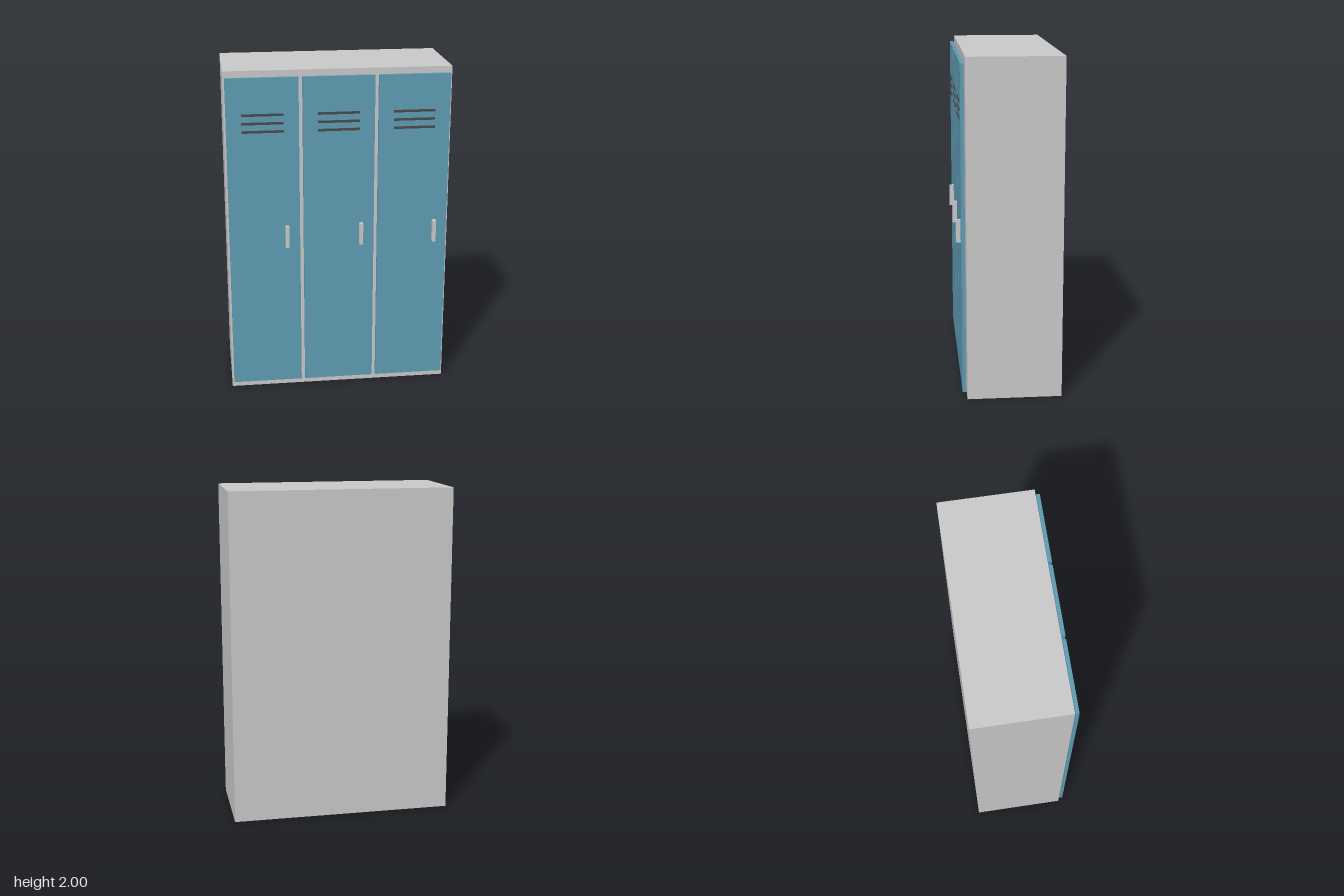
import * as THREE from 'three';

const grey = new THREE.MeshStandardMaterial({ color: 0xcccccc });
const blue = new THREE.MeshStandardMaterial({ color: 0x609eb5 });
const dark = new THREE.MeshStandardMaterial({ color: 0x4a4a4a });

// Box with its back face at z
function box(name, material, w, h, d, x, y, z) {
  const mesh = new THREE.Mesh(new THREE.BoxGeometry(w, h, d), material);
  mesh.name = name;
  mesh.position.set(x, y, z + d / 2);
  return mesh;
}

// One door with its vent slots and handle, centred on x = 0
function createDoor() {
  const door = new THREE.Group();
  door.name = 'door';
  door.add(box('doorPanel', blue, 0.422, 1.922, 0.021, 0, 1.002, 0.257));
  for (const y of [1.747, 1.697, 1.648]) {
    door.add(box('ventSlot', dark, 0.244, 0.014, 0.01, 0, y, 0.273));
  }
  door.add(box('handle', grey, 0.022, 0.133, 0.0315, 0.133, 1.002, 0.274));
  return door;
}

export function createModel() {
  const locker = new THREE.Group();
  locker.name = 'locker';

  // Cabinet body
  locker.add(box('cabinet', grey, 1.333, 2, 0.5555, 0, 1, -0.3055));

  // Three identical doors side by side
  for (const i of [-1, 0, 1]) {
    const door = createDoor();
    door.position.x = i * 0.4444;
    locker.add(door);
  }
  return locker;
}
